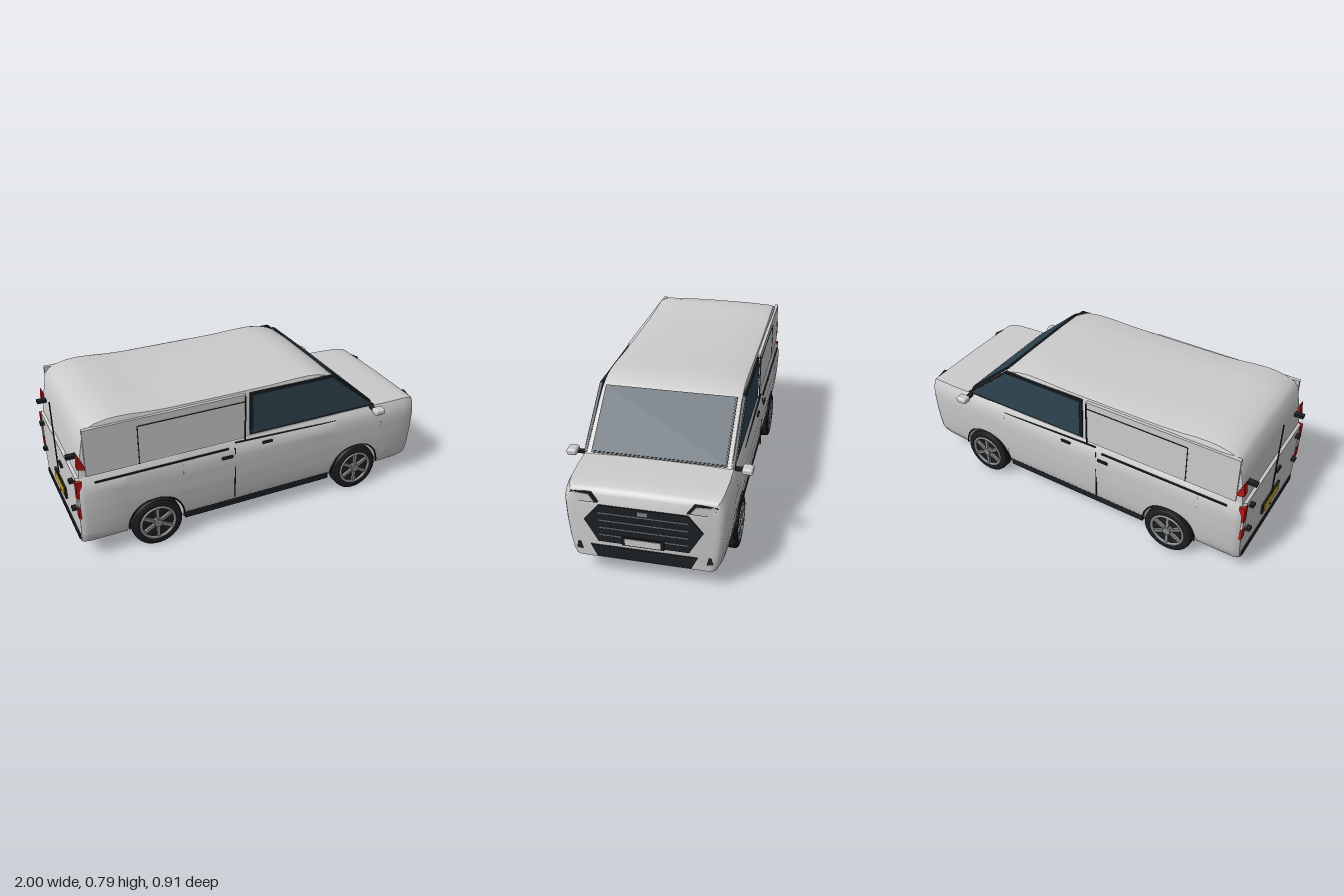
import * as THREE from 'three';
import { toCreasedNormals } from 'three/addons/utils/BufferGeometryUtils.js';
import { RoundedBoxGeometry } from 'three/addons/geometries/RoundedBoxGeometry.js';

const paint = (color) => new THREE.MeshStandardMaterial({ color });
const GREY = paint(0xcccccc), DARK = paint(0x1c2023), GLASS = paint(0x2f4450);
const RED = paint(0xb01818), YELLOW = paint(0xd8b020), TYRE = paint(0x1b1d1f), RIM = paint(0x85888a);
const LENS = paint(0xe4e6e6);

// Piecewise linear lookup in [[x, value], ...]
function lin(table, x) {
  if (x <= table[0][0]) return table[0][1];
  for (let i = 1; i < table.length; i++) {
    const [a, va] = table[i - 1], [b, vb] = table[i];
    if (x <= b) return va + (vb - va) * (x - a) / (b - a);
  }
  return table[table.length - 1][1];
}

// Skin over mirrored sections; half(x) lists [z, y] from the bottom up to the centre line
function loft(stations, half, crease) {
  const pos = [], index = [];
  let n = 0;
  for (const x of stations) {
    const h = half(x);
    const ring = [...h, ...h.slice(0, -1).reverse().map(([z, y]) => [-z, y])];
    n = ring.length;
    ring.forEach(([z, y]) => pos.push(x, y, z));
  }
  const last = stations.length - 1;
  for (let i = 0; i < last; i++) for (let j = 0; j < n; j++) {
    const a = i * n + j, b = i * n + (j + 1) % n;
    index.push(a, a + n, b, b, a + n, b + n);
  }
  for (const i of [0, last]) {
    const c = pos.length / 3;
    pos.push(stations[i], (pos[i * n * 3 + 1] + half(stations[i]).at(-1)[1]) / 2, 0);
    for (let j = 0; j < n; j++) {
      const a = i * n + j, b = i * n + (j + 1) % n;
      i ? index.push(c, b, a) : index.push(c, a, b);
    }
  }
  const g = new THREE.BufferGeometry();
  g.setAttribute('position', new THREE.Float32BufferAttribute(pos, 3));
  g.setIndex(index);
  return toCreasedNormals(g, crease);
}

const AXLES = [-0.59, 0.59], AXLE_Y = 0.135, ARCH = 0.148;
const WIDTH = [[0.1, 0.345], [0.13, 0.365], [0.2, 0.378], [0.3, 0.388], [0.4, 0.392], [0.45, 0.388], [0.48, 0.378], [0.5, 0.365]];
const PLAN = [[-0.975, 0.95], [-0.965, 0.975], [-0.94, 1], [0.8, 1], [0.9, 0.985], [0.95, 0.965], [0.97, 0.935], [0.977, 0.9], [0.982, 0.86]];
const BELT = [[-0.975, 0.49], [-0.94, 0.5], [0.7, 0.5], [0.9, 0.495], [0.95, 0.487], [0.97, 0.478], [0.982, 0.46]];
const ROOF = [[-0.96, 0.5], [-0.945, 0.62], [-0.925, 0.73], [-0.9, 0.757], [-0.86, 0.775], [-0.8, 0.787], [-0.75, 0.79], [-0.68, 0.787],
  [-0.6, 0.779], [-0.5, 0.774], [-0.2, 0.773], [0.05, 0.774], [0.2, 0.78], [0.28, 0.78], [0.34, 0.772], [0.39, 0.757], [0.43, 0.737], [0.71, 0.495]];

export function createModel() {
  const van = new THREE.Group();
  van.name = 'van';
  const add = (name, geo, mat, x = 0, y = 0, z = 0, parent = van) => {
    const m = new THREE.Mesh(geo, mat);
    m.name = name;
    m.position.set(x, y, z);
    parent.add(m);
    return m;
  };
  const box = (name, w, h, d, mat, x, y, z, parent) => add(name, new THREE.BoxGeometry(w, h, d), mat, x, y, z, parent);
  // Thin plate cut from a polygon, extruded along its own z
  const plate = (pts, depth) => new THREE.ExtrudeGeometry(
    new THREE.Shape(pts.map(([x, y]) => new THREE.Vector2(x, y))), { depth, bevelEnabled: false });

  // Lower body with wheel arches and bonnet
  const stations = [...PLAN, ...BELT].map((p) => p[0]);
  for (const c of AXLES) {
    stations.push(c - ARCH - 0.001, c + ARCH + 0.001);
    for (let k = 0; k <= 24; k++) stations.push(c - ARCH * Math.cos(Math.PI * k / 24));
  }
  const xs = [...new Set(stations)].sort((a, b) => a - b);
  const under = (x) => {
    for (const c of AXLES) {
      const d = ARCH * ARCH - (x - c) ** 2;
      if (d > -1e-9) return AXLE_Y + Math.sqrt(Math.max(d, 0));
    }
    return x > 0.9 ? 0.1 + (x - 0.9) * 0.18 : 0.1;
  };
  add('lowerBody', loft(xs, (x) => {
    const b = under(x), t = lin(BELT, x), pts = [];
    for (let j = 0; j <= 12; j++) {
      const f = j / 12, y = b + (t - b) * f;
      pts.push([lin(WIDTH, y + (0.5 - t) * f ** 3) * lin(PLAN, x), y]);
    }
    return [...pts, [0.2 * lin(PLAN, x), t + 0.003], [0, t + 0.005]];
  }, 0.7), GREY);

  // Cabin and roof
  add('cabin', loft(ROOF.map((p) => p[0]), (x) => {
    const y = lin(ROOF, x), s = Math.min(1, (y - 0.48) / 0.2);
    return [[0.367, 0.48], [0.36, y - 0.032 * s], [0.352, y - 0.014 * s], [0.33, y - 0.008 * s], [0.18, y - 0.002], [0, y]];
  }, 0.6), GREY);

  // Windscreen
  const slope = Math.atan2(-0.242, 0.28);
  box('windscreenSeal', 0.358, 0.006, 0.665, DARK, 0.5635, 0.624, 0).rotation.z = slope;
  box('windscreen', 0.345, 0.012, 0.65, GLASS, 0.5645, 0.625, 0).rotation.z = slope;

  // Underside
  add('floor', new RoundedBoxGeometry(1.52, 0.045, 0.56, 2, 0.012), DARK, 0, 0.105, 0);
  box('underTray', 0.86, 0.02, 0.68, DARK, 0, 0.098, 0);

  // Front face parts, drawn as [z, y] and turned to face +x
  const face = (name, pts, depth, mat, x) => { add(name, plate(pts, depth), mat, x).rotation.y = Math.PI / 2; };
  face('grille', [[-0.21, 0.41], [0.21, 0.41], [0.28, 0.325], [0.215, 0.21], [-0.215, 0.21], [-0.28, 0.325]], 0.012, DARK, 0.977);
  face('lowerIntake', [[-0.255, 0.185], [0.255, 0.185], [0.225, 0.122], [-0.225, 0.122]], 0.01, DARK, 0.977);
  for (const y of [0.37, 0.33, 0.29, 0.25]) box('grilleSlat', 0.006, 0.005, 0.42, RIM, 0.989, y, 0);
  box('grilleBlock', 0.006, 0.02, 0.045, RIM, 0.99, 0.39, 0);
  box('frontPlateFrame', 0.012, 0.046, 0.2, DARK, 0.991, 0.232, 0);
  box('frontPlate', 0.006, 0.034, 0.17, GREY, 0.997, 0.232, 0);

  // Rear doors, plate and bumper
  box('rearDoorBar', 0.006, 0.53, 0.006, DARK, -0.984, 0.465, 0);
  box('rearPlateFrame', 0.01, 0.065, 0.22, DARK, -0.98, 0.25, 0);
  box('rearPlate', 0.006, 0.048, 0.19, YELLOW, -0.985, 0.25, 0);
  box('rearBumperStrip', 0.03, 0.03, 0.66, DARK, -0.967, 0.13, 0);
  box('rearHandle', 0.012, 0.018, 0.05, DARK, -0.98, 0.4, 0.06);

  for (const s of [1, -1]) {
    const flank = (name, pts, z, depth, mat) => add(name, plate(pts, depth), mat, 0, 0, s > 0 ? z - depth : -z);
    const rod = (name, x, y, w, h, z = 0.374) => box(name, w, h, 0.008, DARK, x, y, s * z);

    // Cargo side panel with its outline
    flank('cargoPanel', [[-0.925, 0.5], [-0.925, 0.75], [-0.09, 0.75], [-0.09, 0.5]], 0.373, 0.02, GREY);
    rod('panelSeam', -0.375, 0.71, 0.565, 0.005, 0.371);
    rod('panelSeam', -0.66, 0.605, 0.005, 0.21, 0.371);
    rod('pillarSeam', -0.093, 0.615, 0.006, 0.25);

    // Side window and frame
    flank('windowFrame', [[-0.065, 0.508], [-0.065, 0.748], [0.415, 0.746], [0.7, 0.505]], 0.369, 0.014, DARK);
    flank('sideWindow', [[-0.05, 0.52], [-0.05, 0.737], [0.41, 0.737], [0.67, 0.52]], 0.373, 0.014, GLASS);

    // Door trim and handles
    rod('slideRail', -0.54, 0.465, 0.7, 0.008, 0.385);
    rod('beltTrim', 0.15, 0.478, 0.6, 0.005, 0.377).rotation.z = -0.03;
    rod('doorSeam', -0.155, 0.31, 0.004, 0.3, 0.386);
    rod('doorHandle', -0.2, 0.42, 0.06, 0.015, 0.393);
    rod('doorHandle', 0.03, 0.455, 0.055, 0.013, 0.39);
    box('sill', 0.86, 0.038, 0.02, DARK, 0, 0.114, s * 0.356);

    // Mirror
    box('mirrorArm', 0.025, 0.012, 0.06, DARK, 0.68, 0.495, s * 0.385);
    add('mirror', new RoundedBoxGeometry(0.062, 0.034, 0.052, 3, 0.012), GREY, 0.685, 0.5, s * 0.43);

    // Headlight, angled around the corner
    const lamp = [[0.34, 0.466], [0.238, 0.473], [0.205, 0.43], [0.352, 0.41]];
    const shape = (k) => lamp.map(([z, y]) => [-s * (z - 0.28) * k, (y - 0.443) * k]);
    const light = new THREE.Group();
    light.name = 'headlight';
    light.position.set(0.972, 0.443, s * 0.28);
    light.rotation.y = Math.PI / 2 - s * 0.18;
    add('headlightFrame', plate(shape(1), 0.014), DARK, 0, 0, 0, light);
    add('headlightLens', plate(shape(0.82), 0.008), LENS, 0, 0, 0.009, light);
    van.add(light);
    face('fogLight', [[0.305, 0.19], [0.318, 0.19], [0.325, 0.155], [0.295, 0.15]].map(([z, y]) => [-s * z, y]), 0.012, DARK, 0.973);

    // Tail lights and hinges
    box('tailLightLower', 0.03, 0.09, 0.035, RED, -0.965, 0.435, s * 0.362);
    box('reverseLight', 0.03, 0.045, 0.035, LENS, -0.965, 0.365, s * 0.36);
    box('tailLightBase', 0.03, 0.07, 0.035, RED, -0.965, 0.305, s * 0.358);
    add('tailLightUpper', plate([[-0.965, 0.55], [-0.957, 0.625], [-0.925, 0.55], [-0.925, 0.54]], 0.035), RED, 0, 0, s * 0.357 - 0.0175);
    for (const y of [0.29, 0.45, 0.585]) box('hinge', 0.05, 0.016, 0.03, DARK, -0.972, y, s * 0.3);

    // Wheels and arch trims
    for (const x of AXLES) {
      add('archTrim', new THREE.TorusGeometry(ARCH + 0.002, 0.004, 6, 32, Math.PI), DARK, x, AXLE_Y, s * 0.383);
      const wheel = new THREE.Group();
      wheel.name = 'wheel';
      wheel.position.set(x, AXLE_Y, s * 0.355);
      if (s < 0) wheel.rotation.y = Math.PI;
      const tyre = [[0, -0.038], [0.12, -0.04], [0.132, -0.034], [0.135, -0.02], [0.135, 0.02], [0.132, 0.034], [0.122, 0.04], [0.098, 0.038], [0.094, 0.022], [0, 0.022]];
      const tyreGeo = new THREE.LatheGeometry(tyre.map(([r, y]) => new THREE.Vector2(r, y)), 40).rotateX(Math.PI / 2);
      add('tyre', toCreasedNormals(tyreGeo, 0.7), TYRE, 0, 0, 0, wheel);
      add('rimRing', new THREE.TorusGeometry(0.091, 0.008, 8, 40), RIM, 0, 0, 0.036, wheel);
      add('hub', new THREE.CylinderGeometry(0.022, 0.026, 0.03, 20).rotateX(Math.PI / 2), RIM, 0, 0, 0.032, wheel);
      for (let k = 0; k < 6; k++) {
        const a = k * Math.PI / 3 + Math.PI / 6;
        box('spoke', 0.078, 0.016, 0.014, RIM, 0.052 * Math.cos(a), 0.052 * Math.sin(a), 0.034, wheel).rotation.z = a;
      }
      van.add(wheel);
    }
  }
  return van;
}
